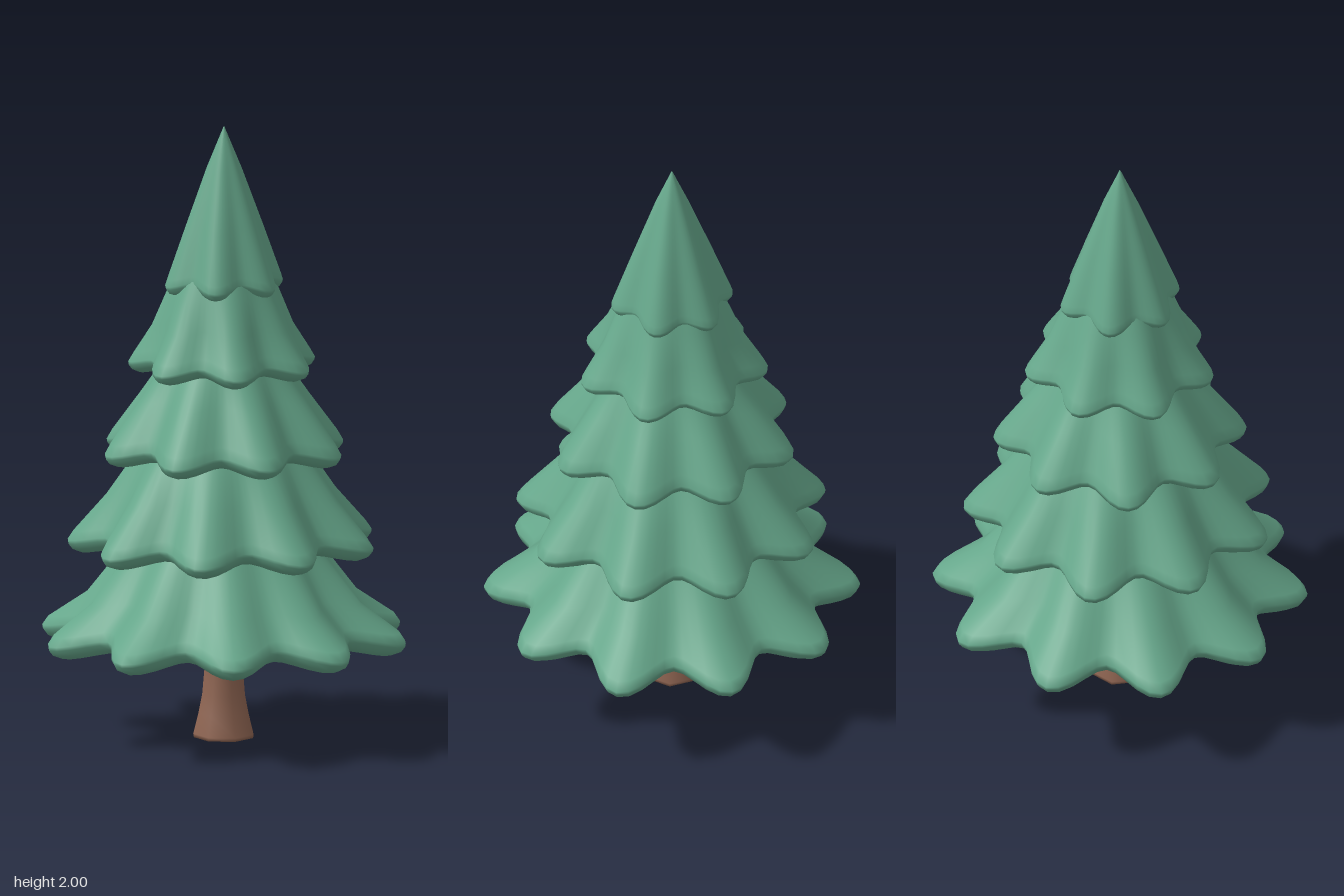
import * as THREE from 'three';
import { mergeVertices } from 'three/addons/utils/BufferGeometryUtils.js';

const needles = new THREE.MeshStandardMaterial({ color: 0x66a78b });
needles.name = 'needle green';
const bark = new THREE.MeshStandardMaterial({ color: 0x8f6552 });
bark.name = 'bark brown';

// Each tier: number of points, tip radius, lowest y, then upper profile as [radius, y]
const TIERS = [
  { n: 10, R: 0.605, y: 0.295, top: [[0.585, 0.366], [0.455, 0.455], [0.32, 0.625], [0.12, 0.88]] },
  { n: 9, R: 0.505, y: 0.608, top: [[0.485, 0.677], [0.38, 0.795], [0.285, 0.93], [0.1, 1.185]] },
  { n: 8, R: 0.408, y: 0.911, top: [[0.388, 0.982], [0.29, 1.11], [0.21, 1.22], [0.08, 1.45]] },
  { n: 7, R: 0.31, y: 1.192, top: [[0.292, 1.257], [0.235, 1.345], [0.185, 1.46], [0.07, 1.7]] },
  { n: 6, R: 0.2, y: 1.457, top: [[0.193, 1.51], [0.135, 1.665], [0.06, 1.86], [0.001, 2]] },
];

// Weld a lathe and rebuild its smooth normals
function smooth(geometry) {
  geometry.deleteAttribute('uv');
  geometry.deleteAttribute('normal');
  const welded = mergeVertices(geometry, 1e-5);
  welded.computeVertexNormals();
  return welded;
}

// Hollow skirt of branches: shallow underside, thick rolled lip, sloping top
function tierGeometry({ n, R, y, top }) {
  const lip = 0.025 + R * 0.025;
  const lift = 0.015 + R * 0.03;
  // radius, y, strength of the scallop
  const profile = [
    [0.075, y + R * 0.25, 0],
    [R * 0.5, y + R * 0.15, 0.3],
    [R * 0.75, y + R * 0.05, 0.8],
    [R - lip * 2.2, y + 0.003, 1],
    [R - lip * 1.2, y, 1],
    [R - lip * 0.4, y + lip * 0.3, 1],
    [R - 0.002, y + lip * 0.75, 1],
    [R, y + lip * 1.05, 1],
    ...top.map(([r, h], i) => [r, h, [1, 0.76, 0.42, 0.1][i]]),
  ];
  const points = profile.map(([r, h]) => new THREE.Vector2(r, h));
  const geometry = new THREE.LatheGeometry(points, n * 10);
  const pos = geometry.attributes.position;
  for (let i = 0; i < pos.count; i++) {
    const strength = profile[i % profile.length][2];
    const angle = Math.atan2(pos.getZ(i), pos.getX(i));
    const valley = strength * (1 - Math.cos(n * angle)) / 2;
    const pull = 1 - 0.205 * valley;
    pos.setXYZ(i, pos.getX(i) * pull, pos.getY(i) + lift * valley, pos.getZ(i) * pull);
  }
  return smooth(geometry);
}

export function createModel() {
  const tree = new THREE.Group();
  tree.name = 'pineTree';

  // Seven-sided trunk flaring at the foot, closed underneath
  const trunkProfile = [[0, 0], [0.098, 0], [0.1, 0.012], [0.083, 0.08], [0.071, 0.14],
    [0.064, 0.22], [0.057, 0.34], [0.05, 0.6]];
  const trunk = new THREE.Mesh(
    smooth(new THREE.LatheGeometry(trunkProfile.map(([r, y]) => new THREE.Vector2(r, y)), 7)), bark);
  trunk.name = 'trunk';
  tree.add(trunk);

  // Stacked branch tiers, largest at the bottom
  TIERS.forEach((tier, i) => {
    const mesh = new THREE.Mesh(tierGeometry(tier), needles);
    mesh.name = `branchTier${i + 1}`;
    tree.add(mesh);
  });

  return tree;
}
